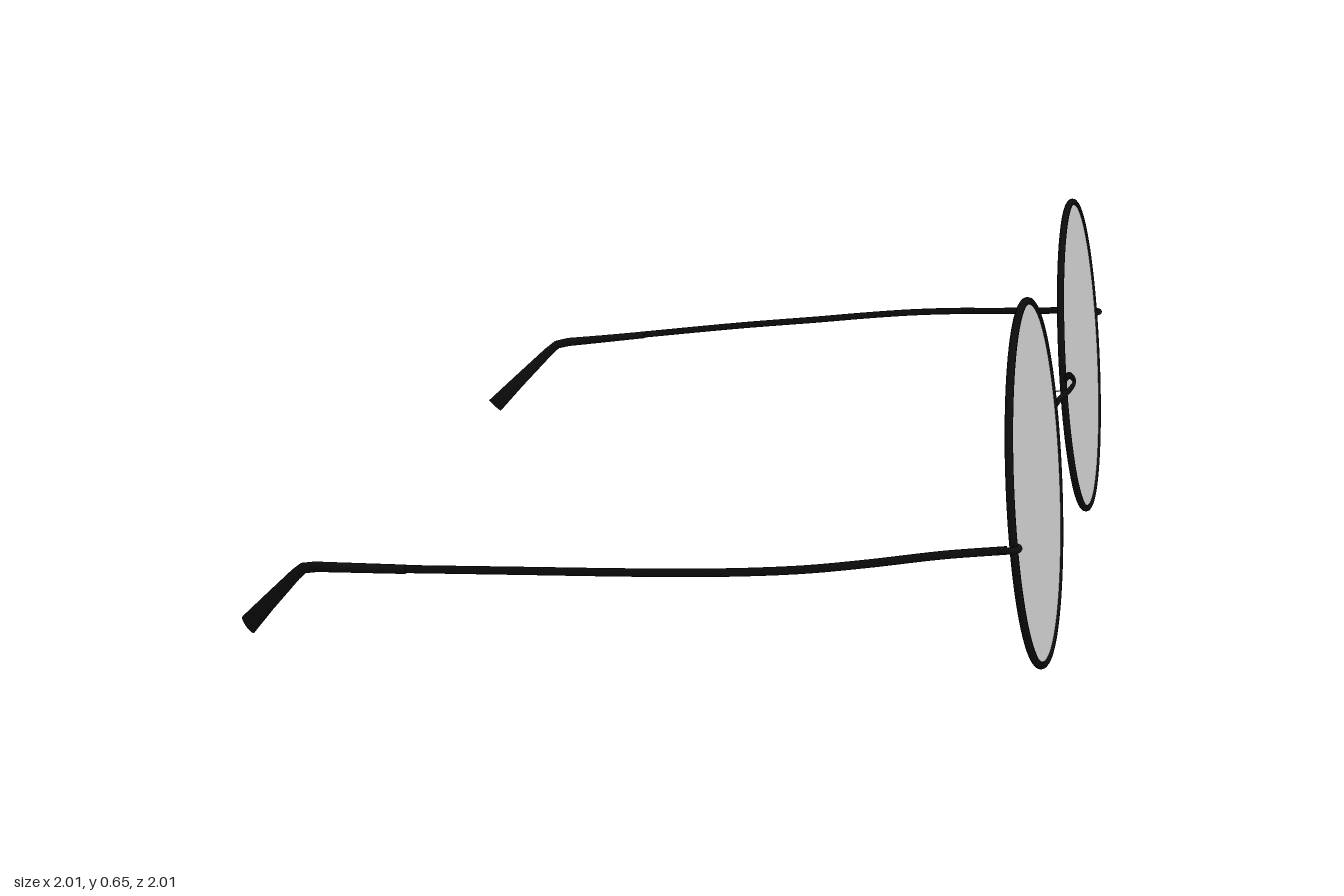
import * as THREE from 'three';

const V = (x, y, z) => new THREE.Vector3(x, y, z);
const frameMat = new THREE.MeshStandardMaterial({ color: 0x0c0c0c });
const greyMat = new THREE.MeshStandardMaterial({ color: 0xcccccc });

function add(parent, name, geometry, material) {
  const mesh = new THREE.Mesh(geometry, material);
  mesh.name = name;
  parent.add(mesh);
  return mesh;
}

function tube(points, radius) {
  return new THREE.TubeGeometry(new THREE.CatmullRomCurve3(points), 24, radius, 8);
}

// Sweeps an elliptical section through stations { p, a: half width, b: half height }
function sweep(stations, sides = 12) {
  const first = stations[0], last = stations[stations.length - 1];
  const rings = [{ ...first, a: 0, b: 0 }, ...stations, { ...last, a: 0, b: 0 }];
  const n = stations.length, positions = [], index = [];
  rings.forEach(({ p, a, b }, i) => {
    const k = Math.min(Math.max(i - 1, 0), n - 1);
    const t = stations[Math.min(k + 1, n - 1)].p.clone().sub(stations[Math.max(k - 1, 0)].p).normalize();
    const side = t.clone().cross(V(0, 1, 0)).normalize();
    const up = side.clone().cross(t);
    for (let j = 0; j < sides; j++) {
      const ang = (j / sides) * Math.PI * 2;
      const q = p.clone().addScaledVector(side, a * Math.cos(ang)).addScaledVector(up, b * Math.sin(ang));
      positions.push(q.x, q.y, q.z);
      if (i < rings.length - 1) {
        const c = i * sides + j, d = i * sides + (j + 1) % sides;
        index.push(c, c + sides, d, d, c + sides, d + sides);
      }
    }
  });
  const g = new THREE.BufferGeometry();
  g.setAttribute('position', new THREE.Float32BufferAttribute(positions, 3));
  g.setIndex(index);
  g.computeVertexNormals();
  return g;
}

// Flat ribbon of constant section along a smooth path
function ribbon(points, a, b) {
  return sweep(new THREE.CatmullRomCurve3(points).getPoints(48).map(p => ({ p, a, b })));
}

function buildSide(s) {
  const side = new THREE.Group();
  side.name = s > 0 ? 'leftSide' : 'rightSide';
  const P = (x, y, z) => V(s * x, y, z);

  // Round lens and rim, leaning slightly back
  const eye = new THREE.Group();
  eye.name = 'eye';
  eye.position.copy(P(0.402, 0.325, 0.657));
  eye.rotation.x = -0.12;
  side.add(eye);
  add(eye, 'rim', new THREE.TorusGeometry(0.319, 0.007, 10, 96), frameMat);
  add(eye, 'lens', new THREE.CylinderGeometry(0.318, 0.318, 0.005, 96).rotateX(Math.PI / 2), greyMat);

  // End piece and hinge at the outer edge of the rim
  add(side, 'endPiece', tube([P(0.72, 0.328, 0.657), P(0.735, 0.329, 0.667), P(0.747, 0.329, 0.66),
    P(0.75, 0.329, 0.635)], 0.006), frameMat);

  // Thin flat temple bowing outward
  add(side, 'temple', ribbon([P(0.747, 0.329, 0.65), P(0.762, 0.317, 0.549), P(0.788, 0.301, 0.432),
    P(0.808, 0.289, 0.333), P(0.815, 0.277, 0.232), P(0.811, 0.264, 0.129), P(0.8, 0.249, 0.013),
    P(0.783, 0.228, -0.16), P(0.752, 0.195, -0.41)], 0.0018, 0.0075), frameMat);

  // Ear tip, bent down and flattening towards its end
  add(side, 'earTip', sweep([
    { p: P(0.754, 0.197, -0.39), a: 0.009, b: 0.008 },
    { p: P(0.739, 0.184, -0.49), a: 0.008, b: 0.009 },
    { p: P(0.728, 0.174, -0.57), a: 0.006, b: 0.010 },
    { p: P(0.723, 0.167, -0.597), a: 0.006, b: 0.010 },
    { p: P(0.715, 0.150, -0.616), a: 0.006, b: 0.011 },
    { p: P(0.690, 0.078, -0.685), a: 0.006, b: 0.015 },
    { p: P(0.671, 0.021, -0.738), a: 0.006, b: 0.019 },
  ]), frameMat);

  // Nose pad splayed outward at the bottom, with its mount and wire arm
  const pad = add(side, 'nosePad', new THREE.SphereGeometry(1, 20, 14), greyMat);
  pad.scale.set(0.007, 0.032, 0.017);
  pad.position.copy(P(0.045, 0.306, 0.616));
  pad.rotation.set(-0.15, s * 0.3, s * 0.65);
  const mount = add(side, 'padMount', new THREE.BoxGeometry(0.012, 0.024, 0.016), frameMat);
  mount.position.copy(P(0.049, 0.316, 0.617));
  mount.rotation.copy(pad.rotation);
  add(side, 'padArm', tube([P(0.083, 0.345, 0.653), P(0.08, 0.34, 0.63), P(0.066, 0.328, 0.615),
    P(0.051, 0.317, 0.617)], 0.0014), greyMat);
  return side;
}

export function createModel() {
  const model = new THREE.Group();
  model.name = 'roundGlasses';
  const glasses = new THREE.Group();
  glasses.name = 'glasses';
  glasses.rotation.y = THREE.MathUtils.degToRad(45.6);
  model.add(glasses);
  for (const s of [1, -1]) glasses.add(buildSide(s));

  // Flat arched bridge bulging forward
  add(glasses, 'bridge', ribbon([V(-0.085, 0.366, 0.653), V(-0.074, 0.379, 0.663), V(-0.045, 0.384, 0.674),
    V(0, 0.387, 0.681), V(0.045, 0.384, 0.674), V(0.074, 0.379, 0.663), V(0.085, 0.366, 0.653)], 0.003, 0.007), frameMat);
  return model;
}
